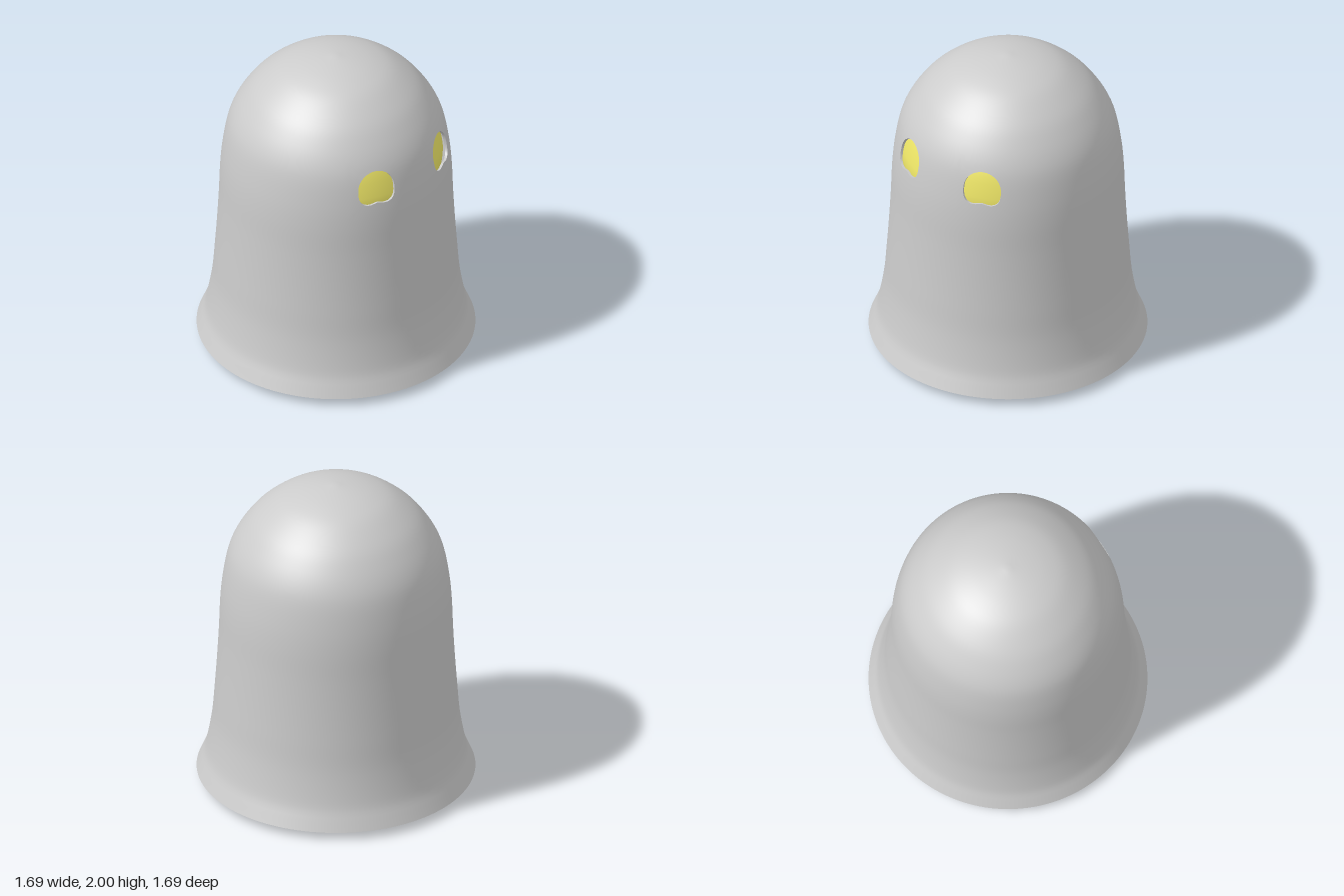
import * as THREE from 'three';
import { mergeVertices } from 'three/addons/utils/BufferGeometryUtils.js';

const SEG = 128, ROWS = 80, THICK = 0.015;
const V2 = (p) => new THREE.Vector2(p[0], p[1]);
const spline = (pts, n) => {
  const out = new THREE.SplineCurve(pts.map(V2)).getSpacedPoints(n);
  out.forEach((p) => { p.x = Math.max(p.x, 0); });
  return out;
};
const material = (color, extra = {}) => new THREE.MeshStandardMaterial({ color, ...extra });

// Sheet profile (radius, height), and the same profile moved inwards
const outer = spline([
  [0.845, 0.05], [0.82, 0.11], [0.787, 0.2], [0.752, 0.4], [0.735, 0.6], [0.721, 0.8],
  [0.71, 1.0], [0.702, 1.2], [0.688, 1.35], [0.662, 1.5], [0.628, 1.6], [0.57, 1.7],
  [0.488, 1.8], [0.362, 1.9], [0.25, 1.952], [0.13, 1.983], [0, 2],
], ROWS);
const inner = outer.map((p, i) => {
  const d = outer[Math.min(i + 1, ROWS)].clone().sub(outer[Math.max(i - 1, 0)]).normalize();
  if (i === 0) return new THREE.Vector2(p.x - THICK, p.y);
  if (i === ROWS) return new THREE.Vector2(0, p.y - THICK);
  return new THREE.Vector2(Math.max(p.x - d.y * THICK, 0), p.y + d.x * THICK);
});

// Point on a profile of revolution: column j and row f may be fractions
function surfacePoint(rows, j, f) {
  const i = Math.min(Math.floor(f), ROWS - 1);
  const p = rows[i].clone().lerp(rows[i + 1], f - i);
  const a = (((j % SEG) + SEG) % SEG) / SEG * Math.PI * 2;
  return new THREE.Vector3(p.x * Math.sin(a), p.y, p.x * Math.cos(a));
}
const rowAt = (y) => {
  const i = outer.findIndex((p) => p.y > y) - 1;
  return i + (y - outer[i].y) / (outer[i + 1].y - outer[i].y);
};

// Smooth geometry from a list of quads
function quadGeometry(quads, flip = false) {
  const pos = [];
  for (const [a, b, c, d] of quads) {
    for (const p of flip ? [a, c, b, a, d, c] : [a, b, c, a, c, d]) pos.push(p.x, p.y, p.z);
  }
  const g = new THREE.BufferGeometry();
  g.setAttribute('position', new THREE.Float32BufferAttribute(pos, 3));
  const merged = mergeVertices(g, 1e-5);
  merged.computeVertexNormals();
  return merged;
}

// Eye: domed top, squarer foot with a shallow notch; found by direction from its centre
const EYE = { angle: 0.435, y: 1.45, w: 0.175, h: 0.11 };
const perRad = SEG / (Math.PI * 2);
function eyeWindow(side) {
  const centre = side * EYE.angle * perRad;
  const j0 = side > 0 ? 4 : -14, j1 = j0 + 10;
  const i0 = Math.floor(rowAt(1.29)), i1 = Math.ceil(rowAt(1.61));
  // Grid points round the window, counter-clockwise
  const border = [];
  for (let j = j0; j < j1; j++) border.push([j, i0]);
  for (let i = i0; i < i1; i++) border.push([j1, i]);
  for (let j = j1; j > j0; j--) border.push([j, i1]);
  for (let i = i1; i > i0; i--) border.push([j0, i]);
  const hole = border.map(([j, i]) => {
    const phi = Math.atan2((outer[i].y - EYE.y) / EYE.h, (j - centre) / (EYE.w * perRad));
    const c = Math.cos(phi), s = Math.sin(phi);
    let r = 1;
    if (s < 0) {
      r = Math.pow(Math.abs(c) ** 3.2 + Math.abs(s) ** 3.2, -1 / 3.2);
      r *= 1 - 0.15 * Math.exp(-((c / 0.35) ** 2));
    }
    return [centre + r * c * EYE.w * perRad, rowAt(EYE.y + r * s * EYE.h)];
  });
  return { j0, j1, i0, i1, border, hole };
}
const eyes = [eyeWindow(1), eyeWindow(-1)];

// One skin of the sheet, with both eye holes left open
function skinQuads(rows) {
  const quads = [];
  const P = (j, f) => surfacePoint(rows, j, f);
  for (let j = -SEG / 2; j < SEG / 2; j++) {
    for (let i = 0; i < ROWS; i++) {
      if (eyes.some((e) => j >= e.j0 && j < e.j1 && i >= e.i0 && i < e.i1)) continue;
      quads.push([P(j, i), P(j + 1, i), P(j + 1, i + 1), P(j, i + 1)]);
    }
  }
  const STEPS = 3;
  for (const { border, hole } of eyes) {
    const at = (k, t) => {
      const b = border[k % border.length], h = hole[k % hole.length];
      return P(b[0] + (h[0] - b[0]) * t, b[1] + (h[1] - b[1]) * t);
    };
    for (let k = 0; k < border.length; k++) {
      for (let s = 0; s < STEPS; s++) {
        const t = s / STEPS, u = (s + 1) / STEPS;
        quads.push([at(k, t), at(k + 1, t), at(k + 1, u), at(k, u)]);
      }
    }
  }
  return quads;
}

// Strip closing the gap between the two skins along a loop
function rimQuads(loop) {
  return loop.map((a, k) => {
    const b = loop[(k + 1) % loop.length];
    return [surfacePoint(outer, ...a), surfacePoint(outer, ...b),
      surfacePoint(inner, ...b), surfacePoint(inner, ...a)];
  });
}

export function createModel() {
  const model = new THREE.Group();
  const add = (name, geometry, mat, parent = model) => {
    const mesh = new THREE.Mesh(geometry, mat);
    mesh.name = name;
    parent.add(mesh);
    return mesh;
  };

  // Draped sheet with eye holes
  const sheet = new THREE.Group();
  sheet.name = 'sheet';
  model.add(sheet);
  const grey = material(0xcccccc);
  const greyBoth = material(0xcccccc, { side: THREE.DoubleSide });
  add('sheetOutside', quadGeometry(skinQuads(outer)), grey, sheet);
  add('sheetInside', quadGeometry(skinQuads(inner), true), grey, sheet);
  const hem = Array.from({ length: SEG }, (_, j) => [j, 0]);
  add('sheetHem', quadGeometry(rimQuads(hem)), greyBoth, sheet);
  eyes.forEach((e, n) => add(n ? 'rightEyeRim' : 'leftEyeRim', quadGeometry(rimQuads(e.hole)), greyBoth, sheet));

  // Balloon envelope, open at the mouth
  const yellow = material(0xf0e868, { side: THREE.DoubleSide });
  const MOUTH_R = 0.245, MOUTH_Y = 0.56;
  add('balloon', new THREE.LatheGeometry(spline([
    [MOUTH_R, MOUTH_Y], [0.36, 0.7], [0.5, 0.9], [0.6, 1.08], [0.645, 1.28],
    [0.638, 1.38], [0.585, 1.55], [0.46, 1.73], [0.27, 1.865], [0, 1.92],
  ], 40), 64), yellow);
  const mouth = add('balloonMouth', new THREE.TorusGeometry(MOUTH_R, 0.008, 8, 64), yellow);
  mouth.rotation.x = Math.PI / 2;
  mouth.position.y = MOUTH_Y;

  // Hollow basket
  add('basket', new THREE.LatheGeometry([
    [0, 0], [0.108, 0], [0.155, 0.22], [0.137, 0.22], [0.1, 0.03], [0, 0.03],
  ].map(V2), 8), material(0x7d4a32, { flatShading: true }));

  // Four ropes from basket to balloon mouth
  const ropeMaterial = material(0x7a6a35);
  for (let k = 0; k < 4; k++) {
    const a = k * Math.PI / 2;
    const at = (r, y) => new THREE.Vector3(r * Math.sin(a), y, r * Math.cos(a));
    const path = new THREE.LineCurve3(at(0.144, 0.2), at(MOUTH_R, MOUTH_Y));
    add('rope', new THREE.TubeGeometry(path, 1, 0.008, 8), ropeMaterial);
  }
  return model;
}
